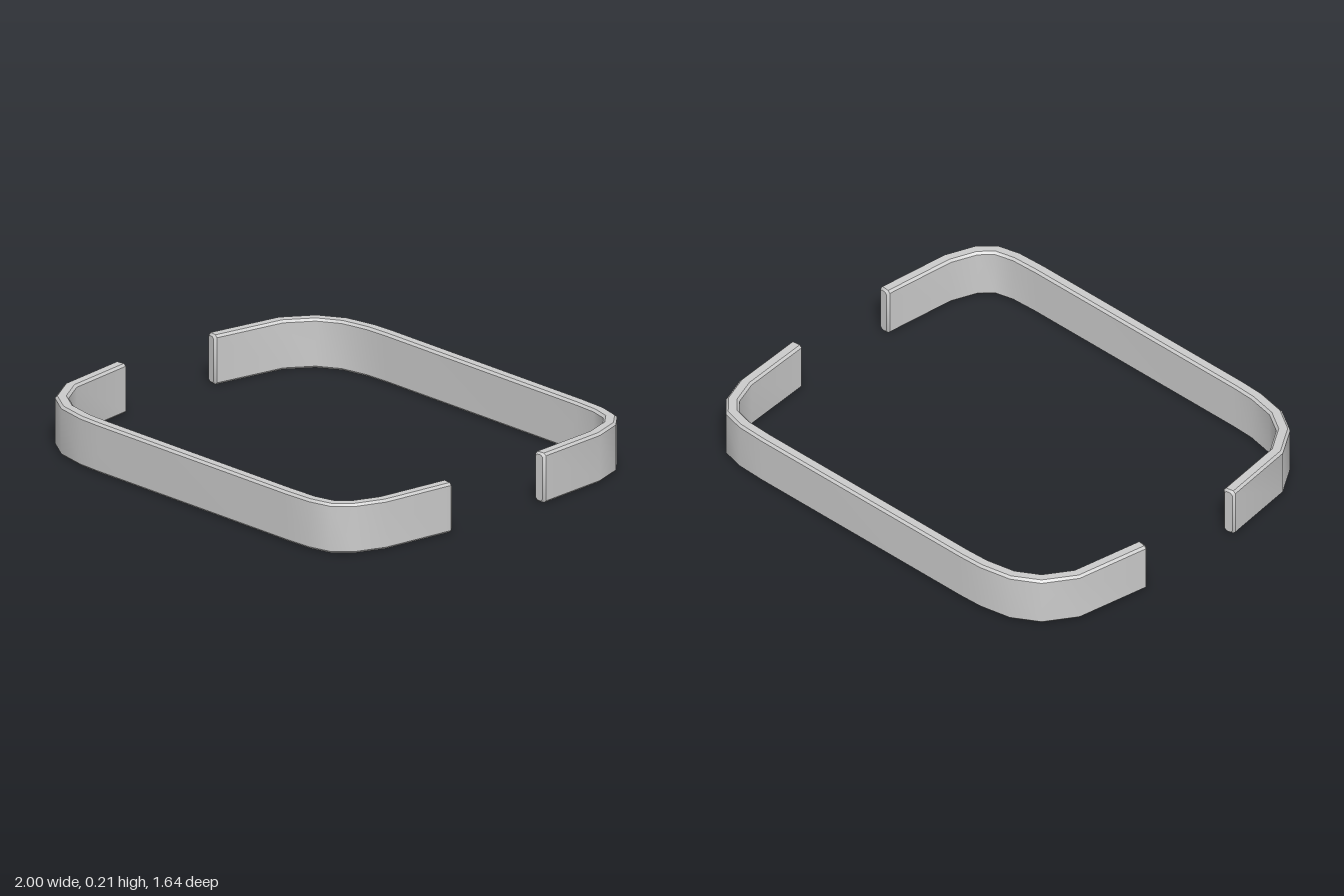
import * as THREE from 'three';
import { toCreasedNormals } from 'three/addons/utils/BufferGeometryUtils.js';

const HEIGHT = 0.213, THICK = 0.055, BEVEL = 0.01;

// Centre line of the front rail [x, z]: wide corner on one side, tight on the other
const PATH = [
  [-0.973, 0.245], [-0.92, 0.578], [-0.84, 0.7], [-0.737, 0.763], [-0.605, 0.789], [-0.5, 0.793],
  [0.62, 0.793], [0.745, 0.788], [0.837, 0.765], [0.895, 0.705], [0.94, 0.583], [0.972, 0.248],
];

// Chamfered rectangle, counter-clockwise in (sideways, up)
function section(inset) {
  const w = THICK / 2 - inset, h = HEIGHT / 2 - inset, b = BEVEL;
  return [
    [w, -h + b], [w, h - b], [w - b, h], [-w + b, h],
    [-w, h - b], [-w, -h + b], [-w + b, -h], [w - b, -h],
  ];
}

// Sweep the section along a flat path with mitred bends and bevelled ends
function railGeometry(points) {
  const p = points.map(([x, z]) => new THREE.Vector2(x, z));
  const last = p.length - 1;
  const dirs = p.slice(1).map((q, i) => q.clone().sub(p[i]).normalize());
  const rings = [];
  const addRing = (c, t, stretch, inset) => rings.push(section(inset).map(([u, v]) =>
    new THREE.Vector3(c.x + t.y * u * stretch, HEIGHT / 2 + v, c.y - t.x * u * stretch)));

  addRing(p[0], dirs[0], 1, BEVEL * 0.8);
  p.forEach((c, i) => {
    const before = dirs[Math.max(i - 1, 0)], after = dirs[Math.min(i, last - 1)];
    const t = before.clone().add(after).normalize();
    const centre = c.clone();
    if (i === 0) centre.addScaledVector(t, BEVEL);
    if (i === last) centre.addScaledVector(t, -BEVEL);
    addRing(centre, t, 1 / t.dot(after), 0);
  });
  addRing(p[last], dirs[last - 1], 1, BEVEL * 0.8);

  const pos = [];
  const tri = (...v) => v.forEach((q) => pos.push(q.x, q.y, q.z));
  const n = rings[0].length;
  for (let i = 0; i < rings.length - 1; i++) {
    for (let j = 0; j < n; j++) {
      const k = (j + 1) % n, a = rings[i], b = rings[i + 1];
      tri(a[j], a[k], b[k]);
      tri(a[j], b[k], b[j]);
    }
  }
  const start = rings[0], end = rings[rings.length - 1];
  for (let j = 1; j < n - 1; j++) {
    tri(start[0], start[j + 1], start[j]);
    tri(end[0], end[j], end[j + 1]);
  }
  const geometry = new THREE.BufferGeometry();
  geometry.setAttribute('position', new THREE.Float32BufferAttribute(pos, 3));
  return toCreasedNormals(geometry, 0.6);
}

export function createModel() {
  const model = new THREE.Group();
  model.name = 'curvedRails';
  const material = new THREE.MeshStandardMaterial({ color: 0xcccccc });
  const addRail = (name, points) => {
    const mesh = new THREE.Mesh(railGeometry(points), material);
    mesh.name = name;
    model.add(mesh);
  };
  addRail('frontRail', PATH);
  addRail('backRail', PATH.map(([x, z]) => [x, -z])); // mirrored across z
  return model;
}
